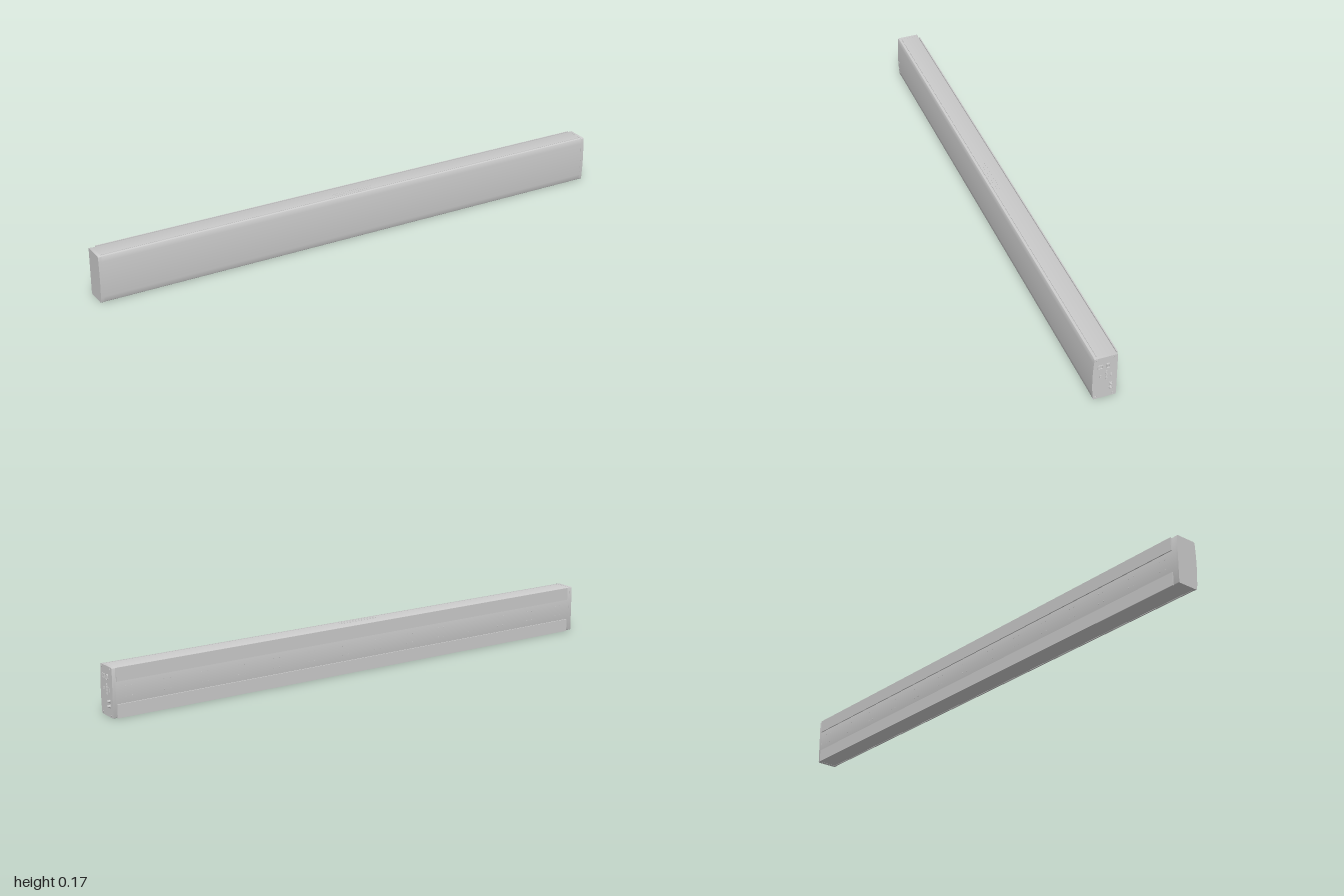
import * as THREE from 'three';
import { toCreasedNormals } from 'three/addons/utils/BufferGeometryUtils.js';

const mat = new THREE.MeshStandardMaterial({ color: 0xcccccc });
const H = 0.172;

function add(parent, name, geometry, x = 0, y = 0, z = 0) {
  const mesh = new THREE.Mesh(geometry, mat);
  mesh.name = name;
  mesh.position.set(x, y, z);
  parent.add(mesh);
  return mesh;
}

// Extrudes a (-z, y) profile along x, from x0 to x1
function alongX(shape, x0, x1) {
  const g = new THREE.ExtrudeGeometry(shape, { depth: x1 - x0, bevelEnabled: false, curveSegments: 10 });
  g.rotateY(Math.PI / 2).translate(x0, 0, 0);
  return toCreasedNormals(g, 0.5);
}

// Cabinet section: bowed front, rounded corners, optional lengthwise seam near the front
function section(inset, seam) {
  const s = new THREE.Shape();
  const b = 0.04 - inset, f = 0.04 - inset, lo = inset, hi = H - inset, r = 0.005;
  const notch = (y, dir, order) => order.forEach(([z, d]) => s.lineTo(-z, y + dir * d));
  s.moveTo(b - r, lo);
  s.quadraticCurveTo(b, lo, b, lo + r);
  s.lineTo(b, hi - r);
  s.quadraticCurveTo(b, hi, b - r, hi);
  if (seam) notch(hi, -1, [[0.029, 0], [0.029, 0.002], [0.031, 0.002], [0.031, 0]]);
  s.lineTo(-f + r, hi);
  s.quadraticCurveTo(-f, hi, -f - 0.0005, hi - r);
  s.quadraticCurveTo(-f - 0.0085, H / 2, -f - 0.0005, lo + r);
  s.quadraticCurveTo(-f, lo, -f + r, lo);
  if (seam) notch(lo, 1, [[0.031, 0], [0.031, 0.002], [0.029, 0.002], [0.029, 0]]);
  s.closePath();
  return s;
}

function roundedRect(w, h, r) {
  const s = new THREE.Shape();
  const x = w / 2 - r, y = h / 2 - r;
  s.absarc(x, y, r, 0, Math.PI / 2);
  s.absarc(-x, y, r, Math.PI / 2, Math.PI);
  s.absarc(-x, -y, r, Math.PI, Math.PI * 1.5);
  s.absarc(x, -y, r, Math.PI * 1.5, Math.PI * 2);
  s.closePath();
  return s;
}

// Hollow frame with a wall of thickness t
function frame(w, h, r, t) {
  const s = roundedRect(w, h, r);
  s.holes.push(roundedRect(w - 2 * t, h - 2 * t, Math.max(r - t, 0.0005)));
  return s;
}

function disc(r, depth, sides = 20) {
  return new THREE.CylinderGeometry(r, r, depth, sides).rotateZ(Math.PI / 2);
}

export function createModel() {
  const model = new THREE.Group();
  model.name = 'longBar';

  // Main cabinet and end caps
  add(model, 'cabinet', alongX(section(0.0005, true), -0.989, 0.978));
  add(model, 'plainEndCap', alongX(section(0, false), -1, -0.988));
  add(model, 'controlEndCap', alongX(section(0, false), 0.977, 0.989));

  // Mounting plates along the top and bottom of the back
  for (const y of [0.0235, H - 0.0235]) {
    add(model, 'backPlate', new THREE.BoxGeometry(1.95, 0.047, 0.004), 0, y, -0.0418);
  }

  // Paired screws along the back
  const back = new THREE.Group();
  back.name = 'backScrews';
  model.add(back);
  const screw = new THREE.CylinderGeometry(0.002, 0.002, 0.0015, 10).rotateX(Math.PI / 2);
  for (let i = 0; i < 14; i++) {
    const x = -0.93 + i * 0.143;
    for (const y of [0.07, 0.105]) {
      for (const dx of [-0.012, 0.012]) add(back, 'backScrew', screw, x + dx, y, -0.04);
    }
  }

  // Pill-shaped control strip on top
  const strip = new THREE.ExtrudeGeometry(frame(0.162, 0.014, 0.007, 0.0015), { depth: 0.001, bevelEnabled: false });
  add(model, 'topControlRim', strip.rotateX(-Math.PI / 2), -0.018, H - 0.0008, 0.012);

  // Controls and sockets on the +x end
  const panel = new THREE.Group();
  panel.name = 'connectorPanel';
  panel.position.x = 0.989;
  model.add(panel);
  for (const z of [0.031, -0.027]) {
    for (const y of [0.008, H - 0.008]) {
      add(panel, 'capScrewRim', new THREE.TorusGeometry(0.0033, 0.0007, 6, 20).rotateY(Math.PI / 2), 0, y, z);
      add(panel, 'capScrew', disc(0.0022, 0.002), 0, y, z);
    }
  }
  const socket = (name, w, h, r, y, z, depth) => {
    add(panel, name, alongX(frame(w, h, r, 0.0015), 0, depth), 0, y, z);
  };
  socket('networkSocket', 0.018, 0.015, 0.001, 0.135, 0.019, 0.003);
  socket('powerSocket', 0.014, 0.019, 0.004, 0.135, -0.007, 0.004);
  socket('smallSocket', 0.007, 0.009, 0.001, 0.093, 0.018, 0.002);
  for (const z of [-0.004, -0.01]) {
    add(panel, 'powerPin', new THREE.BoxGeometry(0.005, 0.005, 0.0012), 0.001, 0.135, z);
  }
  for (let i = 0; i < 8; i++) {
    add(panel, 'terminal', new THREE.BoxGeometry(0.004, 0.0035, 0.005), 0.001, 0.076 + i * 0.005, -0.003);
  }
  for (let i = 0; i < 3; i++) {
    add(panel, 'switch', new THREE.BoxGeometry(0.003, 0.004, 0.005), 0.0005, 0.087 + i * 0.006, -0.019);
  }
  for (const y of [0.038, 0.055]) {
    add(panel, 'knobRim', new THREE.TorusGeometry(0.0058, 0.0009, 8, 28).rotateY(Math.PI / 2), 0.0005, y, -0.019);
    add(panel, 'knob', disc(0.0045, 0.012, 28), 0.005, y, -0.019);
  }
  return model;
}
